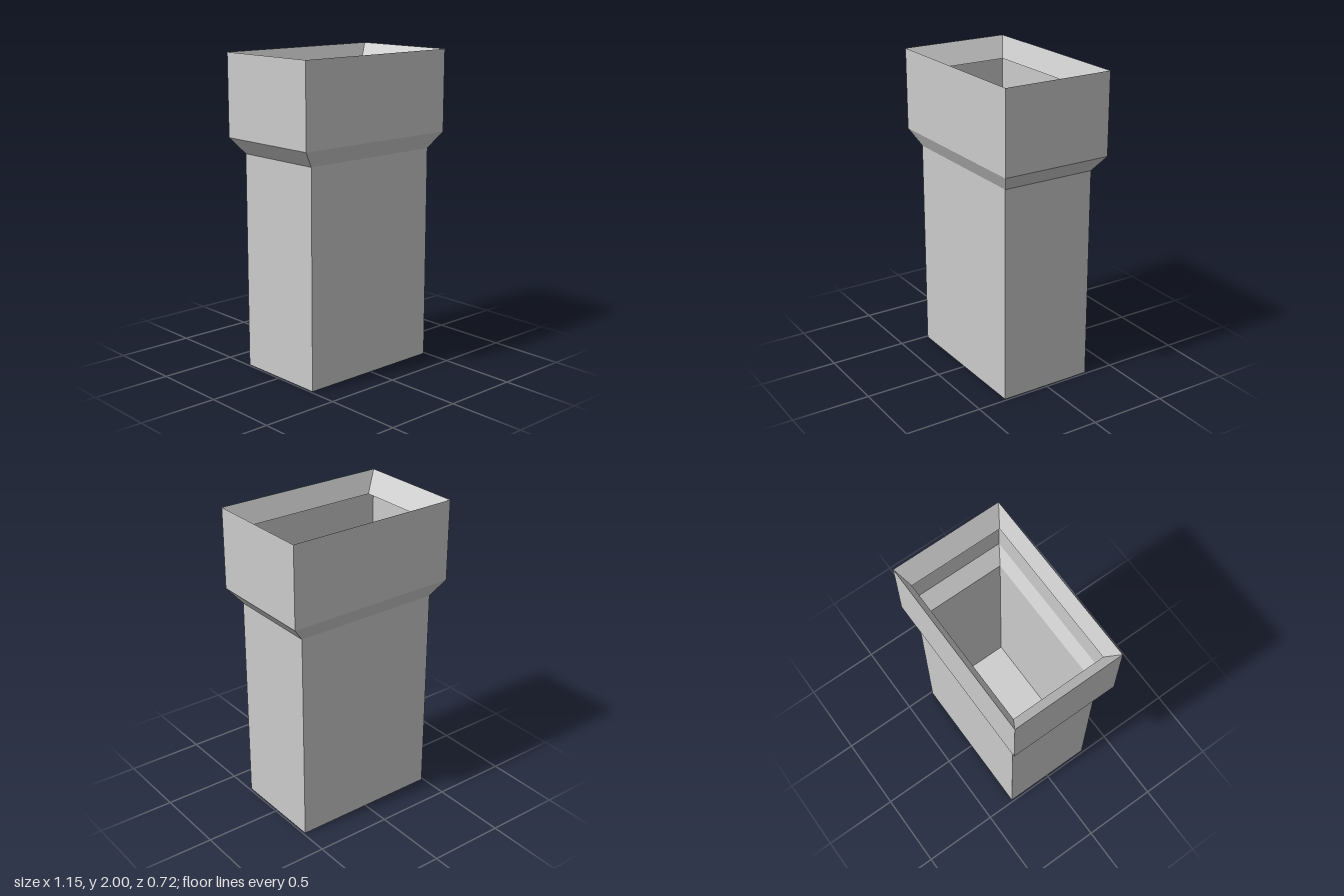
import * as THREE from 'three';

const material = new THREE.MeshStandardMaterial({ color: 0xcccccc, flatShading: true, side: THREE.DoubleSide });

// Rectangular ring: half width, height, half depth
const bottom = [0.488, 0, 0.306];
const bodyTop = [0.488, 1.377, 0.306];
const collarBottom = [0.573, 1.48, 0.36];
const rim = [0.573, 2, 0.36];
const lipEdge = [0.488, 1.866, 0.306];

// Four flat walls joining a lower ring to the next one
function walls(name, from, to) {
  const corner = ([w, h, d], i) => {
    const [sx, sz] = [[1, 1], [1, -1], [-1, -1], [-1, 1]][i % 4];
    return [sx * w, h, sz * d];
  };
  const points = [];
  for (let i = 0; i < 4; i++) {
    const a = corner(from, i), b = corner(from, i + 1);
    const c = corner(to, i + 1), d = corner(to, i);
    points.push(...a, ...b, ...c, ...a, ...c, ...d);
  }
  const geometry = new THREE.BufferGeometry();
  geometry.setAttribute('position', new THREE.Float32BufferAttribute(points, 3));
  geometry.computeVertexNormals();
  const mesh = new THREE.Mesh(geometry, material);
  mesh.name = name;
  return mesh;
}

export function createModel() {
  const model = new THREE.Group();
  model.name = 'flaredRectangularContainer';

  // Hollow shaft, flare and collar, then the lip sloping back inside
  model.add(
    walls('body', bottom, bodyTop),
    walls('flare', bodyTop, collarBottom),
    walls('collar', collarBottom, rim),
    walls('innerLip', rim, lipEdge)
  );

  // Closed base
  const base = new THREE.Mesh(new THREE.PlaneGeometry(2 * bottom[0], 2 * bottom[2]), material);
  base.name = 'base';
  base.rotation.x = Math.PI / 2;
  model.add(base);

  return model;
}
